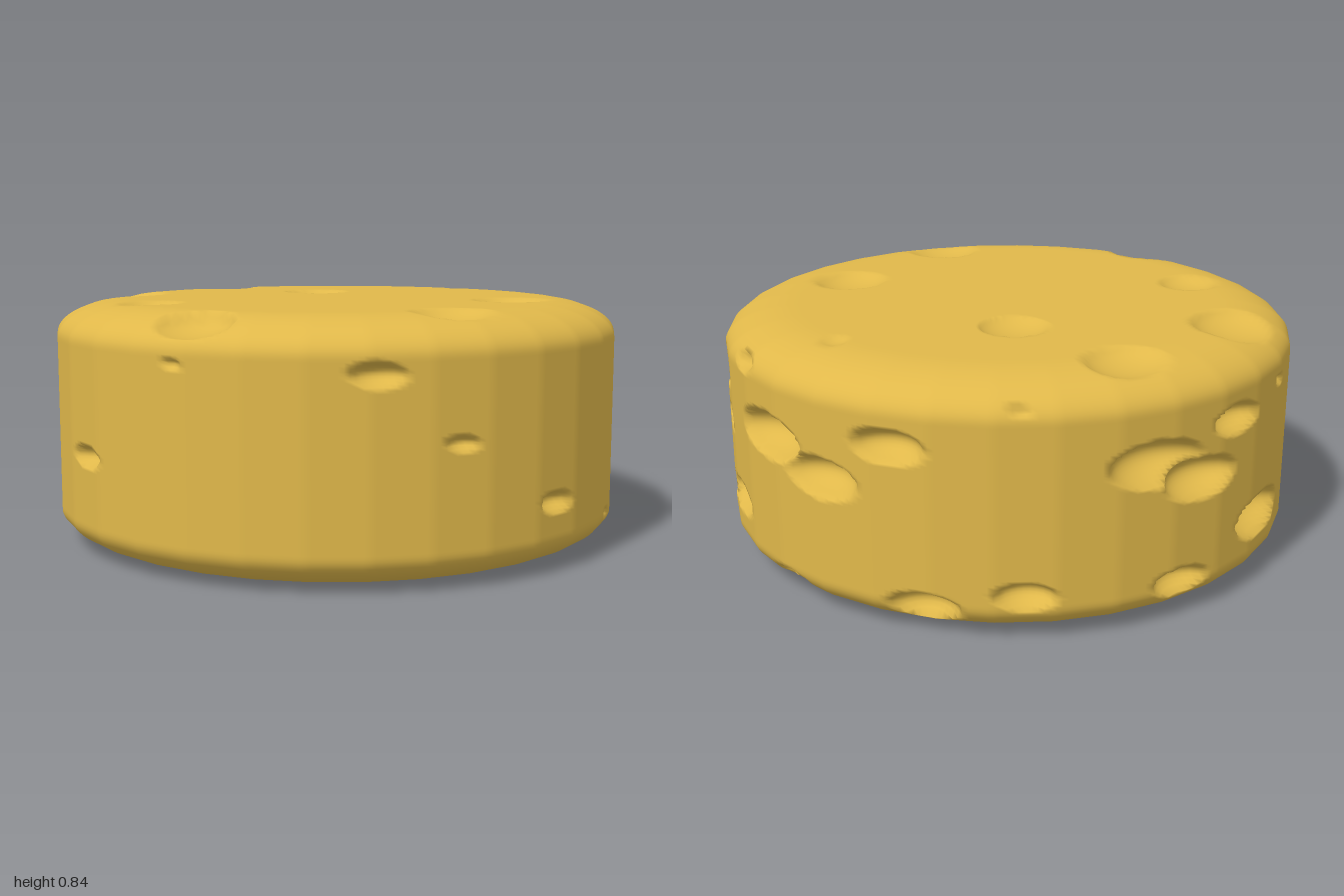
import * as THREE from 'three';
import { mergeVertices } from 'three/addons/utils/BufferGeometryUtils.js';

const SIDES = 32, SUB = 10, HEIGHT = 0.84, BEVEL_R = 0.25, BEVEL_H = 0.12;

// Holes as [x, y, z, half width]; each is snapped to the nearest point of the surface
const HOLES = [
  // top face and upper rim
  [-0.1, 0.84, -0.82, 0.14], [-0.63, 0.84, -0.58, 0.165], [0.11, 0.84, -0.35, 0.12],
  [0.71, 0.84, -0.31, 0.05], [-0.69, 0.84, -0.04, 0.108], [-0.78, 0.8, 0.5, 0.14],
  [0.47, 0.84, 0.42, 0.13], [0, 0.84, 0.78, 0.135],
  // left side
  [0.98, 0.645, 0.2, 0.165], [0.98, 0.74, -0.165, 0.065], [0.95, 0.555, -0.32, 0.175],
  [0.84, 0.48, -0.55, 0.155], [0.67, 0.63, -0.74, 0.125], [0.99, 0.48, 0.09, 0.09],
  [0.93, 0.17, 0.37, 0.125], [0.98, 0.195, 0.17, 0.1], [0.99, 0.235, -0.04, 0.13],
  [0.9, 0.07, -0.4, 0.095], [0.56, 0.11, -0.82, 0.125], [0.29, 0.16, -0.95, 0.1],
  [0.3, 0.757, -0.95, 0.035],
  // front
  [0.29, 0.235, 0.96, 0.08], [-0.37, 0.67, 0.93, 0.09], [-0.1, 0.46, 0.99, 0.055],
  [0.66, 0.12, 0.74, 0.035], [-0.85, 0.69, 0.53, 0.035],
  // back and right side
  [-0.135, 0.555, -0.99, 0.175], [-0.31, 0.47, -0.95, 0.155], [-0.45, 0.63, -0.89, 0.115],
  [-0.7, 0.675, -0.71, 0.04], [-0.62, 0.235, -0.78, 0.17], [-0.23, 0.13, -0.97, 0.11],
  [-0.96, 0.357, -0.29, 0.08], [-0.99, 0.35, 0.11, 0.085],
  // underside
  [0.19, 0, -0.26, 0.035], [-0.62, 0.02, -0.6, 0.08],
];

// Rounded wheel profile from the centre of the base to the centre of the top
function wheelProfile() {
  const points = [];
  const flat = 1 - BEVEL_R;
  for (let i = 0; i < 24; i++) points.push(new THREE.Vector2(flat * i / 24, 0));
  for (let i = 0; i < 16; i++) {
    const a = (i / 16) * Math.PI / 2;
    points.push(new THREE.Vector2(flat + BEVEL_R * Math.sin(a), BEVEL_H * (1 - Math.cos(a))));
  }
  for (let i = 0; i < 64; i++) points.push(new THREE.Vector2(1, BEVEL_H + (HEIGHT - 2 * BEVEL_H) * i / 64));
  for (let i = 0; i < 16; i++) {
    const a = (i / 16) * Math.PI / 2;
    points.push(new THREE.Vector2(flat + BEVEL_R * Math.cos(a), HEIGHT - BEVEL_H * (1 - Math.sin(a))));
  }
  for (let i = 0; i <= 46; i++) points.push(new THREE.Vector2(flat * (1 - i / 46), HEIGHT));
  return points;
}

// Flatten the round wheel into broad upright facets
function facet(pos) {
  const step = 2 * Math.PI / SIDES;
  for (let i = 0; i < pos.count; i++) {
    const x = pos.getX(i), z = pos.getZ(i);
    const a = (Math.atan2(x, z) + 2 * Math.PI) % step;
    const k = Math.cos(step / 2) / Math.cos(a - step / 2);
    pos.setX(i, x * k);
    pos.setZ(i, z * k);
  }
}

// Push the surface inward onto a flattened ball centred just outside it
function carve(pos, centre, normal, halfWidth) {
  const lift = 0.4, r = halfWidth / Math.sqrt(1 - lift * lift);
  const size = new THREE.Vector3(r, r * 0.44, r);
  const dir = normal.clone().negate();
  const d = dir.clone().divide(size);
  const c = centre.clone().addScaledVector(normal, lift / d.length());
  const p = new THREE.Vector3(), q = new THREE.Vector3();
  for (let i = 0; i < pos.count; i++) {
    p.fromBufferAttribute(pos, i);
    q.copy(p).sub(c).divide(size);
    const gap = 1 - q.lengthSq();
    if (gap <= 0) continue;
    const b = q.dot(d), a = d.lengthSq();
    const t = (-b + Math.sqrt(b * b + a * gap)) / a;
    p.addScaledVector(dir, t);
    pos.setXYZ(i, p.x, p.y, p.z);
  }
}

export function createModel() {
  const group = new THREE.Group();
  group.name = 'cheese';

  let geometry = new THREE.LatheGeometry(wheelProfile(), SIDES * SUB);
  geometry.deleteAttribute('uv');
  geometry.deleteAttribute('normal');
  geometry = mergeVertices(geometry, 1e-5);
  const pos = geometry.attributes.position;
  facet(pos);
  geometry.computeVertexNormals();

  // Find every hole's place and facing on the uncut wheel, then carve them all
  const v = new THREE.Vector3();
  const sites = HOLES.map(([x, y, z, halfWidth]) => {
    const target = new THREE.Vector3(x, y, z);
    let best = 0, bestDistance = Infinity;
    for (let i = 0; i < pos.count; i++) {
      const distance = v.fromBufferAttribute(pos, i).distanceToSquared(target);
      if (distance < bestDistance) { bestDistance = distance; best = i; }
    }
    return {
      centre: new THREE.Vector3().fromBufferAttribute(pos, best),
      normal: new THREE.Vector3().fromBufferAttribute(geometry.attributes.normal, best).normalize(),
      halfWidth,
    };
  });
  for (const s of sites) carve(pos, s.centre, s.normal, s.halfWidth);
  geometry.computeVertexNormals();

  const wheel = new THREE.Mesh(geometry, new THREE.MeshStandardMaterial({ color: 0xe0b84a }));
  wheel.name = 'cheeseWheel';
  group.add(wheel);
  return group;
}
